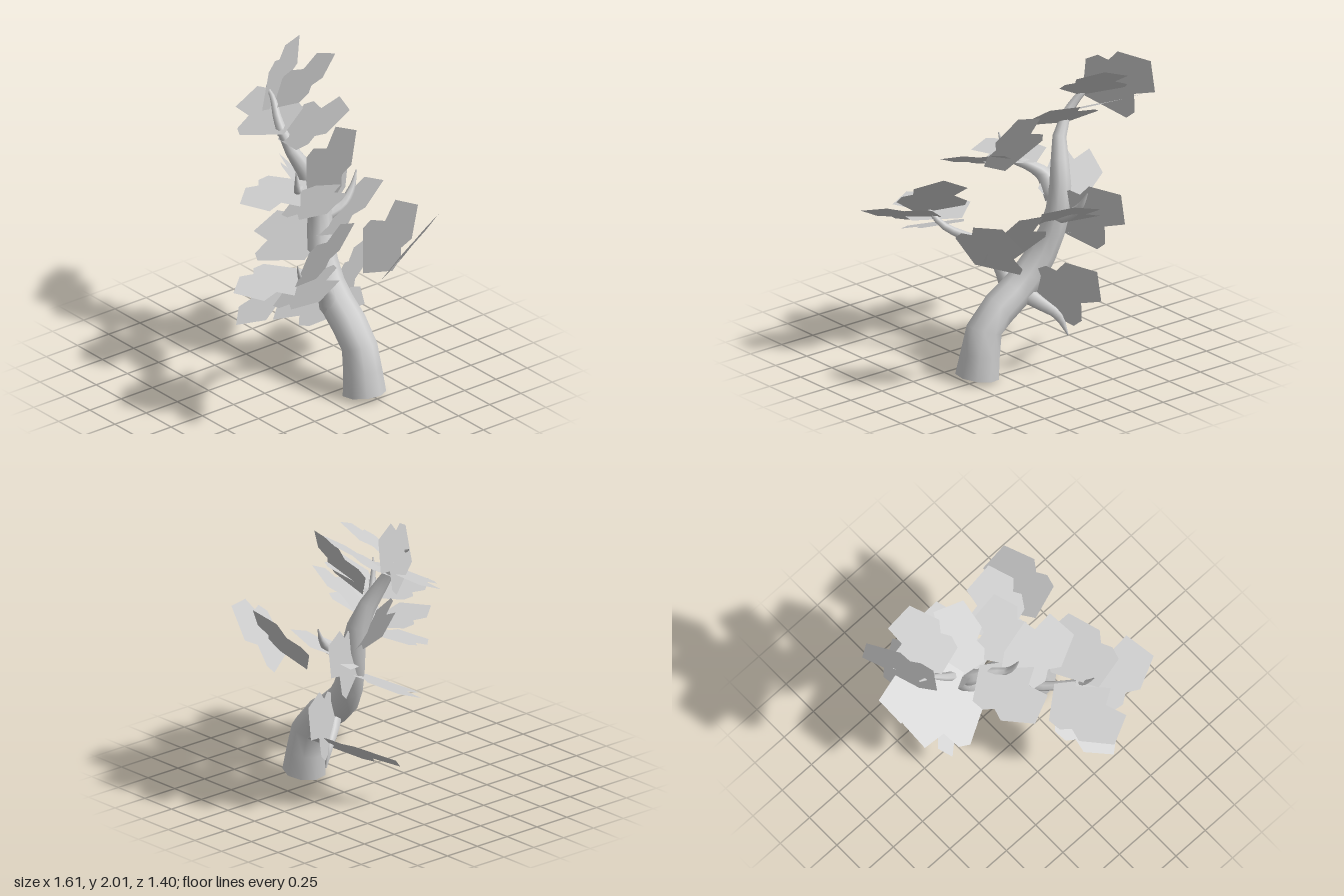
import * as THREE from 'three';

const V = (p) => new THREE.Vector3(...p);
const material = new THREE.MeshStandardMaterial({ color: 0xcccccc, side: THREE.DoubleSide });

// Tapered limb: rings swept along a smooth curve, radii spread evenly over its length
function limb(name, points, radii, segments, sides) {
  const curve = new THREE.CatmullRomCurve3(points.map(V));
  const frames = curve.computeFrenetFrames(segments);
  const pos = [], index = [];
  for (let i = 0; i <= segments; i++) {
    const u = i / segments, f = u * (radii.length - 1);
    const k = Math.min(Math.floor(f), radii.length - 2);
    const r = THREE.MathUtils.lerp(radii[k], radii[k + 1], f - k);
    const c = curve.getPointAt(u);
    for (let j = 0; j < sides; j++) {
      const a = (j / sides) * Math.PI * 2;
      const p = c.clone()
        .addScaledVector(frames.normals[i], Math.cos(a) * r)
        .addScaledVector(frames.binormals[i], Math.sin(a) * r);
      pos.push(p.x, p.y, p.z);
      if (i < segments) {
        const q = i * sides + j, n = i * sides + (j + 1) % sides;
        index.push(q, n, q + sides, n, n + sides, q + sides);
      }
    }
  }
  const g = new THREE.BufferGeometry();
  g.setAttribute('position', new THREE.Float32BufferAttribute(pos, 3));
  g.setIndex(index);
  g.computeVertexNormals();
  const mesh = new THREE.Mesh(g, material);
  mesh.name = name;
  return mesh;
}

// Lobed leaf outline: x across (shoulders at -1 and 1), y from the tip down to the stem
const outline = [
  [0, 0], [1, 1], [0.95, 1.7], [1.33, 1.95], [1.47, 2.6], [0.5, 4.08],
  [-1.13, 3.15], [-1.15, 2.6], [-0.6, 1.93], [-1, 1],
];
const leafShape = new THREE.Shape(outline.map(([x, y]) => new THREE.Vector2(x, y)));

// A leaf is placed by its tip and its two shoulders
function leaf([tip, shoulderA, shoulderB]) {
  const t = V(tip), p = V(shoulderA), q = V(shoulderB);
  const mid = p.clone().add(q).multiplyScalar(0.5);
  const across = q.clone().sub(mid);
  const along = mid.clone().sub(t);
  const normal = across.clone().cross(along).normalize();
  const g = new THREE.ShapeGeometry(leafShape);
  g.applyMatrix4(new THREE.Matrix4().makeBasis(across, along, normal).setPosition(t));
  const mesh = new THREE.Mesh(g, material);
  mesh.name = 'leaf';
  return mesh;
}

// Leaves by branch: [tip, shoulder, shoulder]
const clusters = {
  crownLeaves: [
    [[-0.69, 1.965, -0.58], [-0.72, 1.75, -0.585], [-0.585, 1.995, -0.38]],
    [[-0.325, 1.98, -0.575], [-0.51, 1.91, -0.575], [-0.235, 1.9, -0.4]],
    [[-0.81, 1.635, -0.337], [-0.795, 1.555, -0.151], [-0.59, 1.67, -0.39]],
    [[0, 1.757, -0.43], [-0.19, 1.757, -0.5], [-0.01, 1.645, -0.25]],
  ],
  upperLeaves: [
    [[-0.12, 1.3, 0.354], [0.07, 1.295, 0.268], [-0.263, 1.305, 0.194]],
    [[0.445, 1.375, 0.108], [0.413, 1.445, -0.08], [0.262, 1.285, 0.186]],
    [[0.18, 1.715, -0.34], [-0.01, 1.67, -0.324], [0.272, 1.545, -0.225]],
    [[-0.482, 1.2, -0.36], [-0.471, 1.327, -0.24], [-0.323, 1.073, -0.38]],
  ],
  frontLeaves: [
    [[0.242, 0.925, 0.695], [0.432, 0.915, 0.6], [0.095, 0.93, 0.527]],
    [[0.803, 1.01, 0.454], [0.755, 1.075, 0.255], [0.615, 0.905, 0.531]],
    [[0.536, 1.3, -0.04], [0.363, 1.215, -0.065], [0.624, 1.205, 0.15]],
    [[0.25, 0.7, 0.68], [0.4, 0.755, 0.56], [0.115, 0.735, 0.55]],
  ],
  backLeaves: [
    [[0.579, 1.18, -0.678], [0.423, 1.0, -0.704], [0.661, 1.155, -0.488]],
    [[0.415, 1.19, -0.644], [0.21, 1.15, -0.626], [0.51, 1.03, -0.518]],
    [[0.013, 1.19, -0.69], [-0.19, 1.13, -0.7], [0.1, 1.1, -0.475]],
    [[-0.355, 1.185, -0.7], [-0.385, 0.98, -0.702], [-0.25, 1.21, -0.51]],
    [[-0.61, 0.845, -0.337], [-0.6, 0.765, -0.14], [-0.385, 0.875, -0.4]],
  ],
  lowLeaves: [
    [[-0.165, 0.714, -0.698], [-0.195, 0.508, -0.702], [-0.06, 0.745, -0.51]],
    [[-0.43, 0.31, -0.2], [-0.382, 0.236, -0.12], [-0.256, 0.406, -0.396]],
  ],
};

export function createModel() {
  const tree = new THREE.Group();
  tree.name = 'tree';

  // Leaning trunk, open at the foot
  tree.add(limb('trunk', [
    [0.41, 0.01, -0.215], [0.38, 0.2, -0.22], [0.34, 0.345, -0.22], [0.19, 0.46, -0.23],
    [0.04, 0.58, -0.24], [-0.1, 0.8, -0.28], [-0.16, 1.02, -0.315], [-0.2, 1.22, -0.29],
    [-0.27, 1.43, -0.19], [-0.35, 1.57, -0.16],
  ], [0.14, 0.115, 0.115, 0.105, 0.085, 0.075, 0.055, 0.03], 12, 9));

  // Branches
  tree.add(limb('topBranch', [
    [-0.33, 1.54, -0.16], [-0.4, 1.63, -0.17], [-0.48, 1.72, -0.2], [-0.57, 1.77, -0.22],
  ], [0.035, 0.028, 0.02, 0.006], 8, 7));
  tree.add(limb('upperBranch', [
    [-0.17, 1.08, -0.27], [-0.17, 1.2, -0.17], [-0.09, 1.27, -0.1], [-0.01, 1.31, -0.02],
    [0.02, 1.38, 0.01], [0.04, 1.48, 0.03],
  ], [0.065, 0.06, 0.04, 0.028, 0.018, 0.004], 12, 7));
  tree.add(limb('frontBranch', [
    [0.11, 0.5, -0.18], [0.15, 0.68, -0.1], [0.18, 0.77, 0.02], [0.25, 0.81, 0.11],
    [0.34, 0.87, 0.2], [0.39, 0.96, 0.28], [0.415, 1.06, 0.32],
  ], [0.065, 0.05, 0.038, 0.032, 0.026, 0.018, 0.004], 14, 7));
  tree.add(limb('lowBranch', [
    [0.08, 0.5, -0.27], [0, 0.43, -0.35], [-0.06, 0.37, -0.43], [-0.1, 0.24, -0.49],
  ], [0.06, 0.045, 0.03, 0.004], 9, 7));
  tree.add(limb('backBranch', [
    [-0.15, 0.98, -0.31], [-0.12, 1.03, -0.46], [-0.14, 1.12, -0.56], [-0.16, 1.22, -0.61],
  ], [0.05, 0.038, 0.025, 0.004], 9, 7));

  // Foliage
  for (const [name, leaves] of Object.entries(clusters)) {
    const group = new THREE.Group();
    group.name = name;
    leaves.forEach((l) => group.add(leaf(l)));
    tree.add(group);
  }
  return tree;
}
